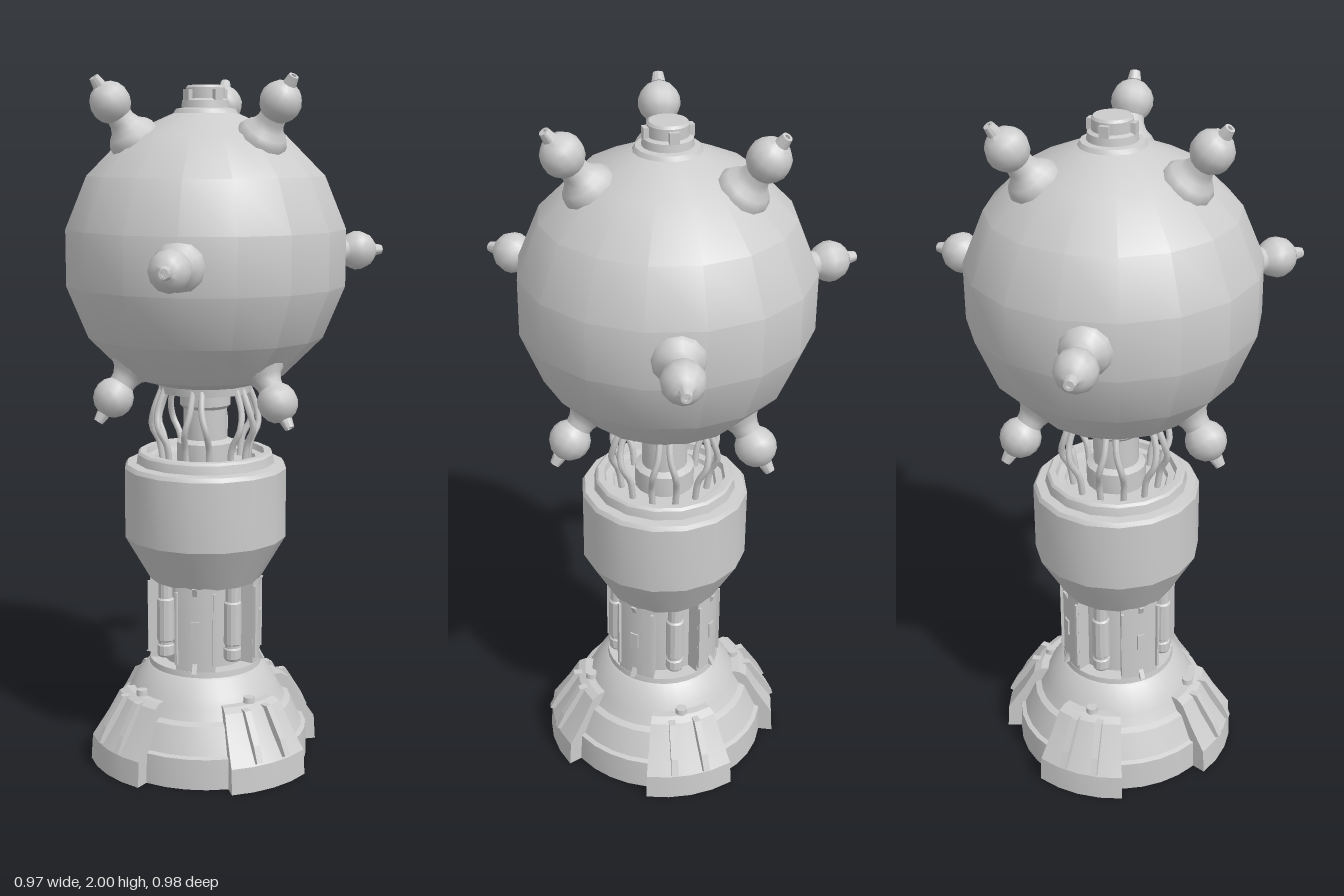
import * as THREE from 'three';
import { mergeGeometries, toCreasedNormals } from 'three/addons/utils/BufferGeometryUtils.js';

const material = new THREE.MeshStandardMaterial({ color: 0xcccccc, side: THREE.DoubleSide });
const vectors = (points) => points.map(([x, y]) => new THREE.Vector2(x, y));
const rad = THREE.MathUtils.degToRad;

function add(parent, name, geometry) {
  const mesh = new THREE.Mesh(geometry, material);
  mesh.name = name;
  parent.add(mesh);
  return mesh;
}

// Turned part; profile runs bottom to top on the outside
function turned(points, sides = 16, crease = 0.5) {
  return toCreasedNormals(new THREE.LatheGeometry(vectors(points), sides), crease);
}

// Closed profile swept over an arc centred on +z, with both ends capped
function sector(points, halfAngle) {
  const closed = vectors([...points, points[0]]);
  const parts = [new THREE.LatheGeometry(closed, 4, -halfAngle, 2 * halfAngle)];
  for (const a of [-halfAngle, halfAngle]) {
    parts.push(new THREE.ShapeGeometry(new THREE.Shape(vectors(points))).rotateY(a - Math.PI / 2));
  }
  return toCreasedNormals(mergeGeometries(parts), 0.4);
}

// Thin plate in the radial plane, facing +z
function plate(points, thickness) {
  const geo = new THREE.ExtrudeGeometry(new THREE.Shape(vectors(points)), { depth: thickness, bevelEnabled: false });
  return geo.translate(0, 0, -thickness / 2).rotateY(-Math.PI / 2);
}

// Flared collar, stem, ball and nozzle
function spikeGeometry() {
  const points = [[0.072, 0.365], [0.072, 0.392], [0.062, 0.408], [0.046, 0.422], [0.038, 0.44], [0.036, 0.462]];
  for (let i = 1; i <= 7; i++) {
    const a = -Math.PI / 2 + 0.66 + (i - 1) * 0.37;
    points.push([0.058 * Math.cos(a), 0.5 + 0.058 * Math.sin(a)]);
  }
  points.push([0.019, 0.556], [0.014, 0.582], [0.007, 0.582], [0.007, 0.574], [0, 0.574]);
  return turned(points, 12, 0.75);
}

function buildSphere(root) {
  const head = new THREE.Group();
  head.name = 'head';
  root.add(head);
  const points = [[0, 1.13], [0.13, 1.13]];
  for (let a = -56.25; a < 60; a += 22.5) {
    points.push([0.41 * Math.cos(rad(a)), 1.5 + 0.41 * Math.sin(rad(a))]);
  }
  points.push([0.092, 1.9], [0.085, 1.912], [0, 1.925]);
  add(head, 'sphere', turned(points));

  // Top cap with four small lugs
  add(head, 'topCap', turned([[0.07, 1.9], [0.066, 1.935], [0.055, 1.94], [0.055, 1.97], [0.05, 1.977], [0, 1.977]], 24));
  for (let i = 0; i < 4; i++) {
    const lug = add(head, 'capLug', new THREE.BoxGeometry(0.026, 0.03, 0.02).translate(0, 1.95, 0.057));
    lug.rotation.y = Math.PI / 4 + i * Math.PI / 2;
  }
  add(head, 'neckCollar', turned([[0.118, 1.14], [0.118, 1.11], [0.135, 1.11], [0.14, 1.16]], 24));

  // Three spikes around the middle, three above, three below
  const geo = spikeGeometry();
  const up = new THREE.Vector3(0, 1, 0);
  const rings = [
    { azimuths: [0, 125, -125], polar: 90, y: 1.5 },
    { azimuths: [180, 55, -55], polar: 35, y: 1.518 },
    { azimuths: [180, 55, -55], polar: 145, y: 1.518 },
  ];
  for (const { azimuths, polar, y } of rings) {
    for (const azimuth of azimuths) {
      const spike = add(head, 'spike', geo);
      const dir = new THREE.Vector3().setFromSphericalCoords(1, rad(polar), rad(azimuth));
      spike.position.y = y;
      spike.quaternion.setFromUnitVectors(up, dir);
    }
  }
}

function buildNeck(root) {
  add(root, 'neckCore', turned([[0.085, 0.9], [0.085, 0.96], [0.065, 0.97], [0.065, 1.06], [0.075, 1.07], [0.075, 1.14]]));
  // Bent cables between drum and sphere, leaning alternately
  for (let i = 0; i < 12; i++) {
    const a = rad(15 + 30 * i);
    const lean = i % 2 ? 0.16 : -0.16;
    const stops = [[0.125, 0.9, 0], [0.135, 0.96, 0], [0.158, 1.01, 0.4], [0.152, 1.06, 0.9], [0.125, 1.13, 1]];
    const path = stops.map(([r, y, t]) =>
      new THREE.Vector3(r * Math.sin(a + lean * t), y, r * Math.cos(a + lean * t)));
    add(root, 'cable', new THREE.TubeGeometry(new THREE.CatmullRomCurve3(path), 14, 0.0095, 7));
  }
}

function buildColumn(root) {
  add(root, 'drum', turned([
    [0, 0.55], [0.165, 0.55], [0.24, 0.68], [0.24, 0.885], [0.232, 0.897], [0.205, 0.9],
    [0.2, 0.925], [0.193, 0.932], [0.175, 0.932], [0.17, 0.915], [0.15, 0.912], [0.145, 0.9], [0, 0.9],
  ]));
  add(root, 'columnCore', turned([[0.125, 0.27], [0.125, 0.56]]));

  const panel = sector([[0.12, 0.29], [0.165, 0.29], [0.165, 0.56], [0.12, 0.56]], rad(21));
  const piston = turned([
    [0, 0.325], [0.022, 0.325], [0.026, 0.332], [0.026, 0.36], [0.022, 0.364], [0.022, 0.372], [0.026, 0.376],
    [0.026, 0.5], [0.021, 0.505], [0.021, 0.56],
  ], 12);
  for (let i = 0; i < 4; i++) {
    const side = new THREE.Group();
    side.name = 'columnSide';
    side.rotation.y = i * Math.PI / 2;
    root.add(side);
    add(side, 'columnPanel', panel);
    add(side, 'panelHatch', new THREE.BoxGeometry(0.024, 0.05, 0.01).translate(0, 0.43, 0.164));
    // Small wedges at the top and bottom of the panel
    add(side, 'panelWedge', plate([[0.16, 0.3], [0.18, 0.3], [0.16, 0.335]], 0.014));
    add(side, 'panelWedge', plate([[0.16, 0.555], [0.16, 0.52], [0.175, 0.555]], 0.014));
    for (const s of [-1, 1]) {
      const rib = add(side, 'panelRib', new THREE.BoxGeometry(0.008, 0.22, 0.016).translate(0, 0.43, 0.165));
      rib.rotation.y = s * rad(19.5);
    }
    const rod = add(side, 'piston', piston);
    rod.position.set(0.1, 0, 0.1);
  }
}

function buildBase(root) {
  // Hollow stepped skirt, open underneath
  add(root, 'baseSkirt', turned([
    [0, 0.2], [0.17, 0.2], [0.23, 0.13], [0.27, 0.05], [0.28, 0], [0.308, 0], [0.305, 0.09], [0.292, 0.095],
    [0.258, 0.17], [0.24, 0.178], [0.222, 0.21], [0.21, 0.235], [0.175, 0.28], [0.168, 0.285], [0.166, 0.302], [0, 0.302],
  ], 32));

  const foot = sector([
    [0.29, 0], [0.35, 0], [0.345, 0.075], [0.295, 0.15], [0.262, 0.208], [0.24, 0.22], [0.19, 0.22], [0.2, 0.17], [0.27, 0.08],
  ], rad(22));
  const rib = plate([[0.28, 0.05], [0.352, 0.085], [0.33, 0.13], [0.275, 0.215], [0.25, 0.215]], 0.02);
  for (let i = 0; i < 4; i++) {
    const leg = new THREE.Group();
    leg.name = 'foot';
    leg.rotation.y = Math.PI / 4 + i * Math.PI / 2;
    root.add(leg);
    add(leg, 'footShell', foot);
    for (const s of [-1, 1]) add(leg, 'footRib', rib).rotation.y = s * rad(8);
    add(leg, 'footNub', new THREE.CylinderGeometry(0.016, 0.018, 0.02, 10).translate(0, 0.226, 0.225));
    add(leg, 'innerBlock', new THREE.BoxGeometry(0.08, 0.09, 0.04).translate(0, 0.1, 0.235));
  }
}

export function createModel() {
  const model = new THREE.Group();
  model.name = 'spikedSphereOnPedestal';
  // The pedestal axis sits slightly behind the centre of the bounds
  const root = new THREE.Group();
  root.name = 'body';
  root.position.z = -0.09;
  model.add(root);
  buildSphere(root);
  buildNeck(root);
  buildColumn(root);
  buildBase(root);
  return model;
}
